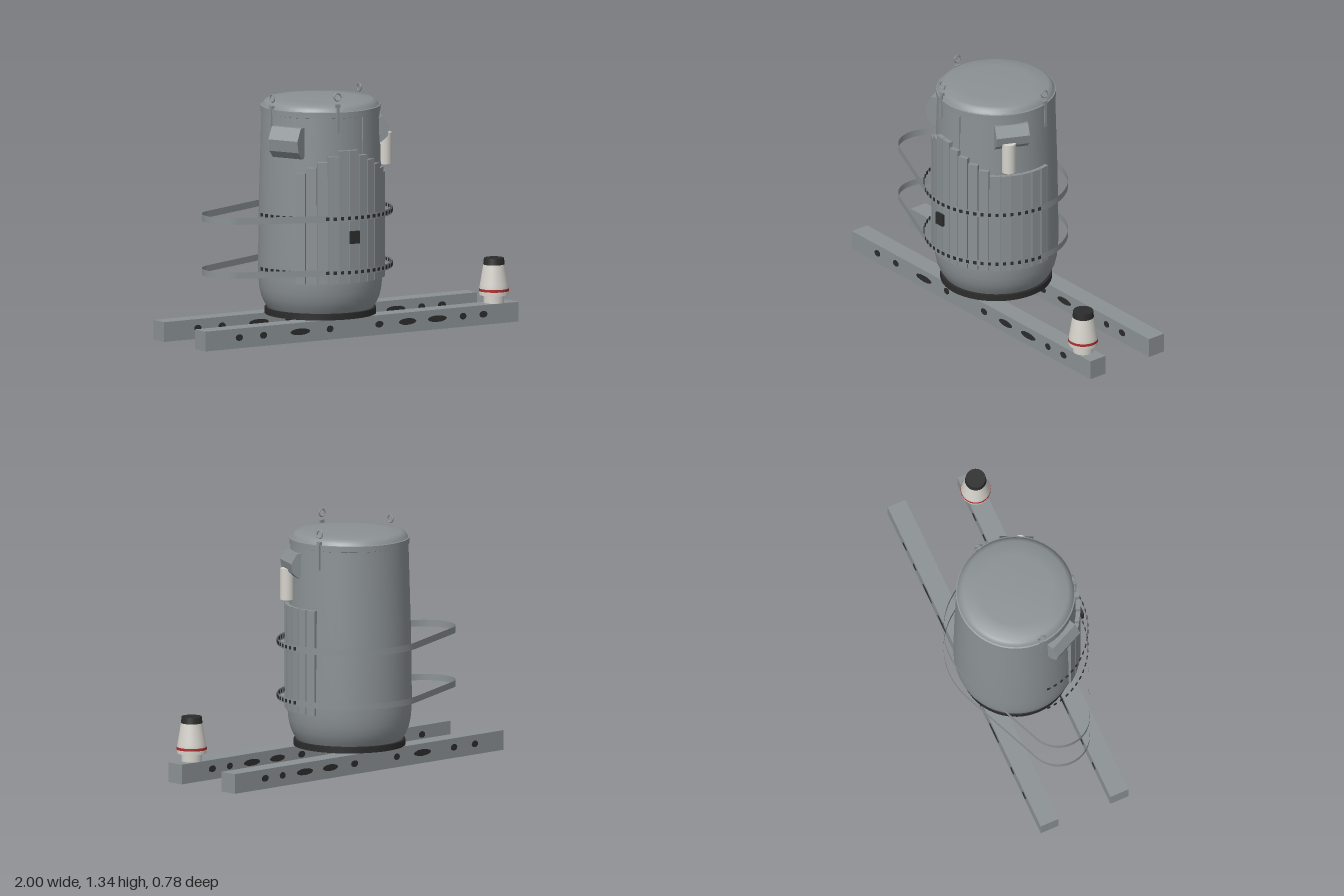
import * as THREE from 'three';
import { toCreasedNormals } from 'three/addons/utils/BufferGeometryUtils.js';

const mat = (name, color, side = THREE.FrontSide) => {
  const m = new THREE.MeshStandardMaterial({ color, side });
  m.name = name;
  return m;
};

export function createModel() {
  const grey = mat('steelGrey', 0x8b9194, THREE.DoubleSide);
  const black = mat('rubberBlack', 0x2c2c2c);
  const white = mat('offWhite', 0xd6d3cc);
  const red = mat('bandRed', 0xb03030);

  const model = new THREE.Group();
  model.name = 'tankOnRails';
  const tank = new THREE.Group();
  tank.name = 'tank';
  tank.position.x = -0.1;
  model.add(tank);

  const add = (parent, name, geo, material, x = 0, y = 0, z = 0) => {
    const m = new THREE.Mesh(geo, material);
    m.name = name;
    m.position.set(x, y, z);
    parent.add(m);
    return m;
  };
  // Place a part around the tank axis; angle in degrees from the front toward +x
  const around = (name, geo, material, deg, r, y) => {
    const a = THREE.MathUtils.degToRad(deg);
    const m = add(tank, name, geo, material, Math.sin(a) * r, y, Math.cos(a) * r);
    m.rotation.y = a;
    return m;
  };
  const lathe = (pts, seg = 48) => toCreasedNormals(
    new THREE.LatheGeometry(pts.map(([r, y]) => new THREE.Vector2(r, y)), seg), 0.5);
  const box = (w, h, d) => new THREE.BoxGeometry(w, h, d);

  // Rails with dark slots passing through both side faces
  const slots = [[-0.785, 0.045], [-0.63, 0.045], [-0.395, 0.125], [-0.205, 0.042], [0.11, 0.05],
    [0.29, 0.11], [0.48, 0.12], [0.645, 0.042], [0.775, 0.05]];
  for (const z of [-0.205, 0.205]) {
    add(model, 'rail', box(2, 0.107, 0.105), grey, 0, 0.0535, z);
    for (const [x, w] of slots) {
      const slot = new THREE.CylinderGeometry(0.5, 0.5, 0.111, 12).rotateX(Math.PI / 2);
      add(model, 'railSlot', slot.scale(w, 0.036, 1), black, x, 0.058, z);
    }
  }

  // Tank body, base ring and domed lid
  add(tank, 'baseRing', new THREE.CylinderGeometry(0.3, 0.3, 0.033, 48), black, 0, 0.1235, 0);
  add(tank, 'tankBody', lathe([[0, 0.141], [0.285, 0.141], [0.303, 0.17], [0.318, 0.205], [0.328, 0.25],
    [0.334, 0.31], [0.335, 0.4], [0.33, 0.75], [0.317, 1.205]]), grey);
  add(tank, 'lid', lathe([[0.315, 1.203], [0.322, 1.205], [0.322, 1.236], [0.315, 1.238], [0.308, 1.25],
    [0.298, 1.262], [0.282, 1.27], [0.2, 1.275], [0.1, 1.279], [0, 1.28]]), grey);
  around('seamStrip', box(0.008, 0.28, 0.008), grey, 12.5, 0.322, 1.06);

  // Stepped slats wrapped over the front and the +x side
  for (let i = 0; i < 16; i++) {
    const top = Math.max(0.88, 1.03 - 0.03 * (Math.abs(i - 4.5) - 0.5));
    around('slat', box(0.055, top - 0.31, 0.028), grey, -51 + 10 * i, 0.333, (top + 0.31) / 2);
  }

  // Teardrop strap outline: big arc round the tank, small arc at the free end
  const R = 0.387, r = 0.17, cx = -0.555;
  const t = Math.asin((R - r) / -cx);
  const outline = [];
  const arc = (c, rad, from, to, n) => {
    for (let i = 0; i <= n; i++) {
      const a = from + (to - from) * i / n;
      outline.push([c + rad * Math.cos(a), rad * Math.sin(a)]);
    }
  };
  arc(0, R, -Math.PI / 2 - t, Math.PI / 2 + t, 40);
  arc(cx, r, Math.PI / 2 + t, Math.PI * 1.5 - t, 20);
  outline.push(outline[0]);
  const ribbon = (h) => {
    const pos = [], idx = [];
    outline.forEach(([x, z], i) => {
      pos.push(x, h / 2, z, x, -h / 2, z);
      const k = i * 2;
      if (i < outline.length - 1) idx.push(k, k + 2, k + 1, k + 1, k + 2, k + 3);
    });
    const g = new THREE.BufferGeometry();
    g.setAttribute('position', new THREE.Float32BufferAttribute(pos, 3));
    g.setIndex(idx);
    g.computeVertexNormals();
    return g;
  };
  for (const [y, h] of [[0.67, 0.036], [0.376, 0.034]]) {
    add(tank, 'strap', ribbon(h), grey, 0, y, 0);
    for (let d = -87; d <= 90; d += 6) {
      around('strapStud', box(0.017, 0.018, 0.005), black, d, 0.388, y);
    }
  }

  // Small control box in front of the slats
  add(model, 'controlBox', box(0.056, 0.068, 0.014), black, -0.122, 0.563, 0.374);

  // Hooded ducts on both flanks, the +x one with a down pipe
  const duct = (deg, y, h, out) => {
    const k = h / 2, s = new THREE.Shape();
    [[0.27, -k], [out - 0.045, -k], [out - 0.01, -k * 0.55], [out, k * 0.2], [out - 0.035, k], [0.27, k]]
      .forEach(([px, py], i) => (i ? s.lineTo(px, py) : s.moveTo(px, py)));
    const g = new THREE.ExtrudeGeometry(s, { depth: 0.184, bevelEnabled: false });
    around('duct', g.translate(0, 0, -0.092).rotateY(-Math.PI / 2), grey, deg, 0, y);
  };
  duct(65, 1.107, 0.138, 0.362);
  duct(-65, 1.07, 0.168, 0.378);
  add(model, 'downPipe', new THREE.CylinderGeometry(0.038, 0.038, 0.17, 24), white, 0.205, 0.997, 0.165);

  // Lifting eyes on flat posts: angle, ring height, ring yaw
  for (const [deg, y, yaw] of [[-15.8, 1.32, 0], [105.6, 1.295, Math.PI / 2], [-88, 1.295, Math.PI / 2]]) {
    const eye = around('liftingEye', new THREE.TorusGeometry(0.02, 0.004, 8, 24), grey, deg, 0.314, y);
    eye.rotation.y = yaw;
    around('eyePost', box(0.015, 0.15, 0.01), grey, deg, 0.322, y - 0.118).rotation.y = yaw;
    around('eyeFoot', box(0.028, 0.018, 0.014), grey, deg, 0.318, y - 0.048).rotation.y = yaw;
  }

  // Beacon standing on the end of the front rail
  const beacon = new THREE.Group();
  beacon.name = 'beacon';
  beacon.position.set(0.877, 0, 0.205);
  model.add(beacon);
  add(beacon, 'beaconFoot', new THREE.CylinderGeometry(0.055, 0.055, 0.05, 32), white, 0, 0.132, 0);
  add(beacon, 'beaconBody', lathe([[0, 0.15], [0.079, 0.15], [0.08, 0.18], [0.076, 0.205],
    [0.058, 0.315], [0, 0.315]], 32), white);
  add(beacon, 'beaconBand', new THREE.CylinderGeometry(0.081, 0.081, 0.014, 32), red, 0, 0.178, 0);
  add(beacon, 'beaconCap', new THREE.CylinderGeometry(0.054, 0.058, 0.036, 32), black, 0, 0.332, 0);

  return model;
}
